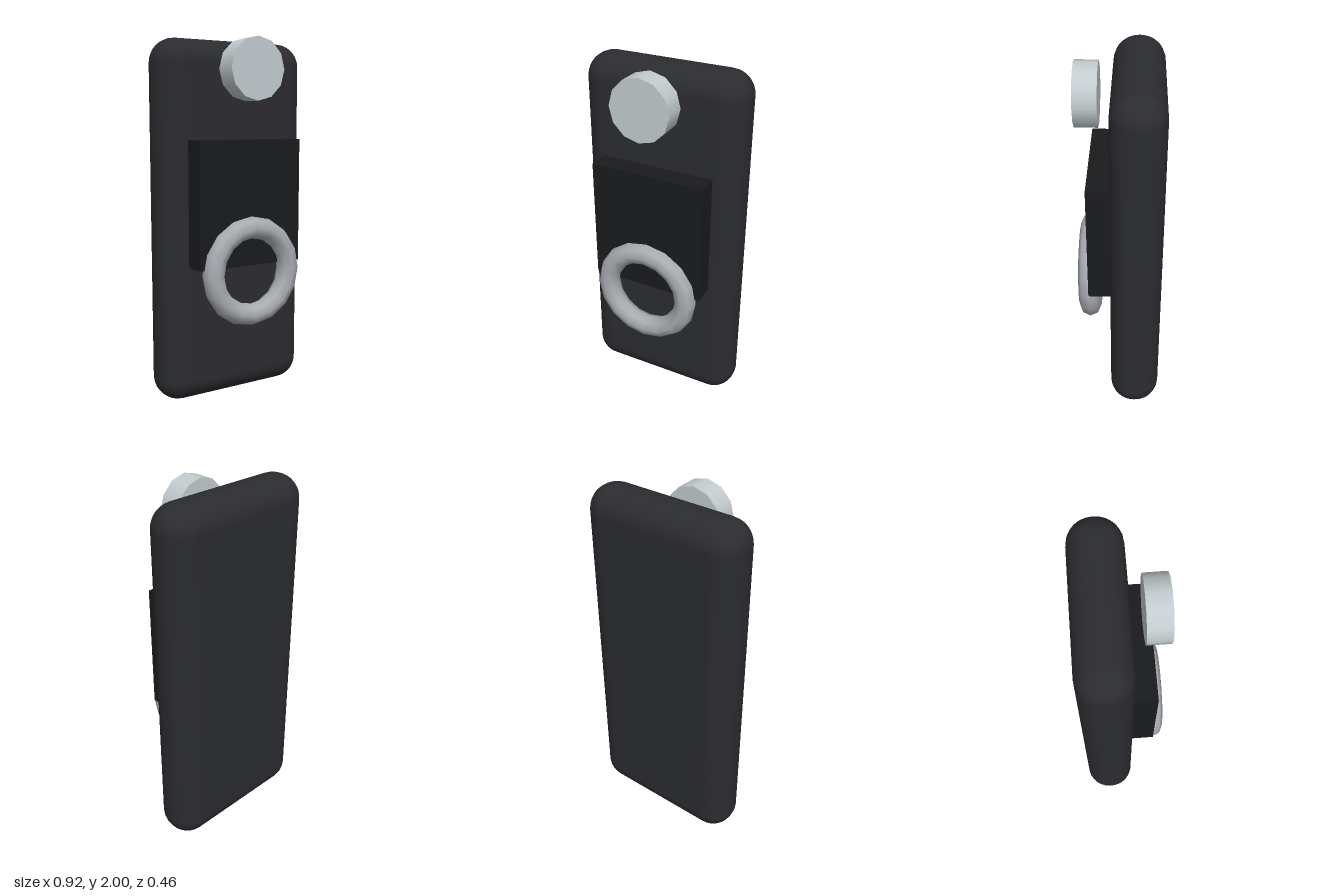
import * as THREE from 'three';
import { RoundedBoxGeometry } from 'three/addons/geometries/RoundedBoxGeometry.js';

export function createModel() {
  const model = new THREE.Group();
  model.name = 'handset';

  const add = (name, geometry, color, x, y, z) => {
    const mesh = new THREE.Mesh(geometry, new THREE.MeshStandardMaterial({ color }));
    mesh.name = name;
    mesh.position.set(x, y, z);
    model.add(mesh);
    return mesh;
  };

  // Slab body with soft rounded edges
  add('body', new RoundedBoxGeometry(0.922, 2.002, 0.277, 4, 0.133), 0x2b2c30, 0, 1, -0.093);

  // Raised screen panel on the front
  add('screen', new THREE.BoxGeometry(0.645, 0.687, 0.13), 0x1a1b1d, 0, 1.117, 0.102);

  // Control ring, facing forward
  add('controlRing', new THREE.TorusGeometry(0.244, 0.061, 8, 16), 0xa9adb2, 0, 0.741, 0.168);

  // Round button at the top, floating in front of the body
  const button = add('topButton', new THREE.CylinderGeometry(0.167, 0.167, 0.122, 12), 0xc3cccf, 0, 1.834, 0.169);
  button.rotation.x = Math.PI / 2;

  return model;
}
